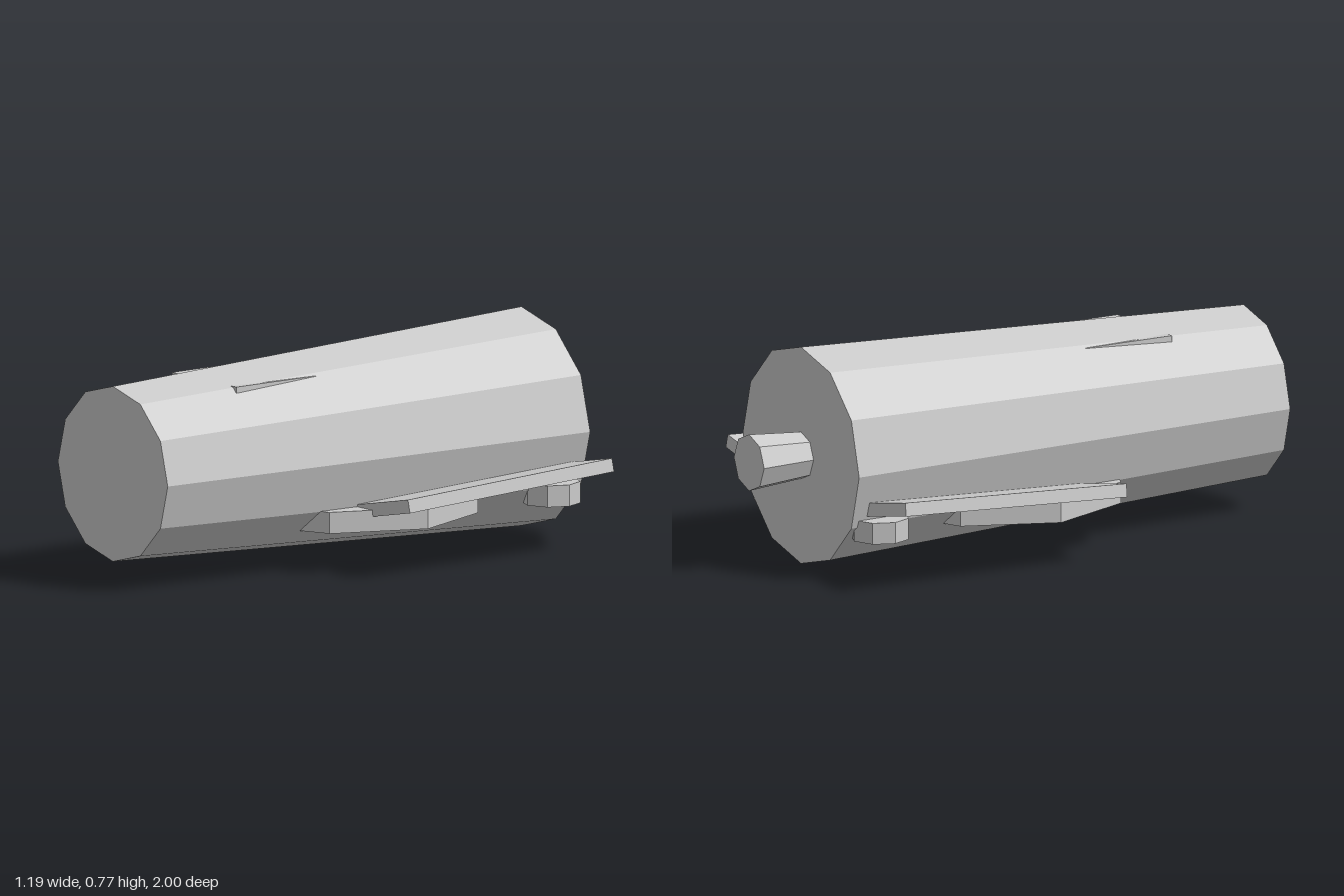
import * as THREE from 'three';

export function createModel() {
  const model = new THREE.Group();
  const material = new THREE.MeshStandardMaterial({ color: 0xcccccc, flatShading: true });

  function add(name, geometry, x, y, z) {
    const mesh = new THREE.Mesh(geometry, material);
    mesh.name = name;
    mesh.position.set(x, y, z);
    model.add(mesh);
    return mesh;
  }

  // Faceted cone section lying along z, from zBack to zFront
  function addBarrel(name, rFront, rBack, zFront, zBack, sides) {
    const geometry = new THREE.CylinderGeometry(rFront, rBack, zFront - zBack, sides);
    geometry.rotateX(Math.PI / 2);
    return add(name, geometry, 0, 0.387, (zFront + zBack) / 2);
  }

  // Tapered hull and tail nozzle
  addBarrel('hull', 0.307, 0.384, 1, -0.79, 12);
  addBarrel('tailNozzle', 0.083, 0.1, -0.79, -1, 8);

  // Octagonal plate through the belly, showing at both sides
  add('bellyPlate', new THREE.CylinderGeometry(0.46, 0.46, 0.075, 8), 0, 0.183, -0.02);

  for (const [side, s] of [['left', 1], ['right', -1]]) {
    // Raised, slightly pitched wing
    const wing = add(side + 'Wing', new THREE.BoxGeometry(0.36, 0.047, 0.895), s * 0.414, 0.25, -0.283);
    wing.rotation.set(0.05, 0, s * 0.2);

    // Small octagonal pod under the rear of the wing
    add(side + 'Pod', new THREE.CylinderGeometry(0.103, 0.103, 0.075, 8), s * 0.32, 0.183, -0.668);

    // Small block half sunk in the upper hull
    add(side + 'UpperBlock', new THREE.BoxGeometry(0.04, 0.06, 0.35), s * 0.16, 0.642, 0.425);
  }

  return model;
}
